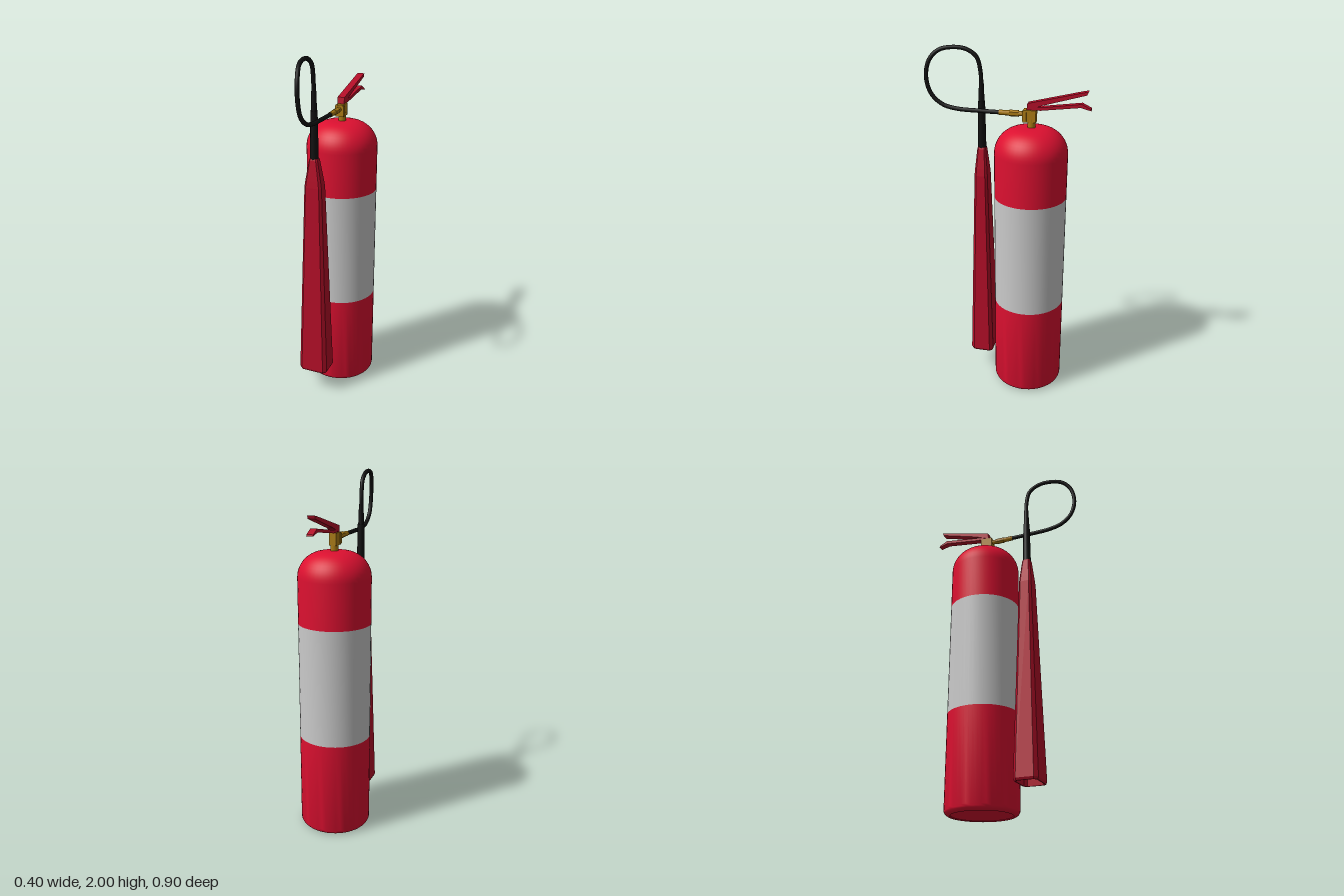
import * as THREE from 'three';
import { toCreasedNormals } from 'three/addons/utils/BufferGeometryUtils.js';

const material = (name, color) => {
  const m = new THREE.MeshStandardMaterial({ color });
  m.name = name;
  return m;
};

// Joins chamfered rectangles [y, halfX, halfZ, chamfer] from bottom to top with flat faces
function loftChamferedRings(rings) {
  const loops = rings.map(([y, w, d, c]) => [
    [w, -d + c], [w, d - c], [w - c, d], [-w + c, d],
    [-w, d - c], [-w, -d + c], [-w + c, -d], [w - c, -d],
  ].map(([x, z]) => [x, y, z]));
  const pos = [];
  for (let r = 0; r < loops.length - 1; r++) {
    for (let i = 0; i < 8; i++) {
      const j = (i + 1) % 8;
      const a = loops[r], b = loops[r + 1];
      pos.push(...a[i], ...b[i], ...a[j], ...b[i], ...b[j], ...a[j]);
    }
  }
  const geo = new THREE.BufferGeometry();
  geo.setAttribute('position', new THREE.Float32BufferAttribute(pos, 3));
  geo.computeVertexNormals();
  return geo;
}

// Side outline given as [distance towards the back, height], extruded across x
function sidePlate(points, width) {
  const shape = new THREE.Shape(points.map(([b, y]) => new THREE.Vector2(b, y)));
  const geo = new THREE.ExtrudeGeometry(shape, { depth: width, bevelEnabled: false });
  geo.translate(0, 0, -width / 2);
  geo.rotateY(Math.PI / 2);
  return geo;
}

export function createModel() {
  const red = material('tank red', 0xdc1030);
  const darkRed = material('dark red', 0xb40e28);
  const grey = material('label grey', 0xcacaca);
  const brass = material('brass', 0xac7c14);
  const black = material('hose black', 0x101010);

  const model = new THREE.Group();
  const add = (name, geo, mat, x = 0, y = 0, z = 0, parent = model) => {
    const mesh = new THREE.Mesh(geo, mat);
    mesh.name = name;
    mesh.position.set(x, y, z);
    parent.add(mesh);
    return mesh;
  };

  // Tank: lower shell, label band and domed upper shell
  const R = 0.2, tankZ = -0.14;
  const tank = new THREE.Group();
  tank.name = 'tank';
  tank.position.z = tankZ;
  model.add(tank);
  const lathe = (pts) => toCreasedNormals(
    new THREE.LatheGeometry(pts.map(([r, y]) => new THREE.Vector2(r, y)), 48), 0.6);
  const arc = (cx, cy, r, ry, from, to, n) => Array.from({ length: n + 1 }, (_, i) => {
    const a = from + (to - from) * i / n;
    return [cx + r * Math.cos(a), cy + ry * Math.sin(a)];
  });
  add('lowerShell', lathe([[0, 0.005], [0.165, 0.005], [0.167, 0],
    ...arc(R - 0.03, 0.03, 0.03, 0.03, -Math.PI / 2, 0, 5), [R, 0.545]]), red, 0, 0, 0, tank);
  add('labelBand', lathe([[R, 0.545], [R, 1.2]]), grey, 0, 0, 0, tank);
  add('upperShell', lathe([[R, 1.2],
    ...arc(0.055, 1.45, R - 0.055, 0.142, 0, Math.PI / 2, 12), [0, 1.595]]), red, 0, 0, 0, tank);

  // Valve: neck, block, front collar and hose outlet
  const valve = new THREE.Group();
  valve.name = 'valve';
  model.add(valve);
  add('neck', new THREE.CylinderGeometry(0.022, 0.022, 0.06, 24), brass, 0, 1.61, tankZ, valve);
  add('valveBlock', new THREE.BoxGeometry(0.042, 0.066, 0.07), brass, 0, 1.655, -0.131, valve);
  add('valveCollar', new THREE.BoxGeometry(0.05, 0.055, 0.022), brass, 0, 1.655, -0.105, valve);
  const outlet = (name, r, z0, z1, sides) => {
    const geo = new THREE.CylinderGeometry(r, r, z1 - z0, sides);
    geo.rotateX(Math.PI / 2);
    add(name, toCreasedNormals(geo, 0.6), brass, 0, 1.663, (z0 + z1) / 2, valve);
  };
  outlet('outletStub', 0.013, -0.1, -0.06, 20);
  outlet('outletNut', 0.018, -0.07, -0.02, 6);
  outlet('outletFerrule', 0.014, -0.03, 0.037, 20);

  // Squeeze lever above and carrying handle below
  add('squeezeLever', sidePlate([[0.116, 1.69], [0.145, 1.695], [0.2, 1.718], [0.43, 1.785],
    [0.437, 1.803], [0.4, 1.795], [0.2, 1.745], [0.12, 1.725]], 0.04), darkRed);
  add('carryHandle', sidePlate([[0.12, 1.69], [0.19, 1.69], [0.4, 1.718], [0.455, 1.704],
    [0.453, 1.713], [0.405, 1.737], [0.2, 1.708], [0.12, 1.702]], 0.036), darkRed);

  // Hose looping from the valve outlet to the horn
  const hornX = -0.045, hornZ = 0.145;
  const path = new THREE.CatmullRomCurve3([
    [hornX, 1.76, hornZ], [hornX, 1.86, 0.148], [-0.043, 1.94, 0.168], [-0.04, 1.978, 0.22],
    [-0.034, 1.988, 0.29], [-0.021, 1.972, 0.37], [-0.007, 1.92, 0.42], [0, 1.83, 0.438],
    [0, 1.74, 0.412], [0, 1.687, 0.35], [0, 1.668, 0.27], [0, 1.664, 0.15], [0, 1.663, 0.02],
  ].map((p) => new THREE.Vector3(...p)));
  add('hose', new THREE.TubeGeometry(path, 96, 0.0115, 12), black);
  add('hoseSleeve', new THREE.CylinderGeometry(0.013, 0.017, 0.12, 20), black, hornX, 1.745, hornZ);
  add('hornGrip', new THREE.CylinderGeometry(0.019, 0.023, 0.27, 20), black, hornX, 1.57, hornZ);

  // Discharge horn with a recessed mouth
  add('horn', loftChamferedRings([
    [0.19, 0, 0, 0], [0.19, 0.072, 0.055, 0.014], [0.14, 0.074, 0.057, 0.014],
    [0.14, 0.08, 0.063, 0.016], [0.153, 0.086, 0.068, 0.019], [1.29, 0.05, 0.037, 0.012],
    [1.33, 0.044, 0.034, 0.011], [1.44, 0.025, 0.024, 0.008], [1.45, 0.021, 0.021, 0.007], [1.45, 0, 0, 0],
  ]), darkRed, hornX, 0, hornZ);

  return model;
}
